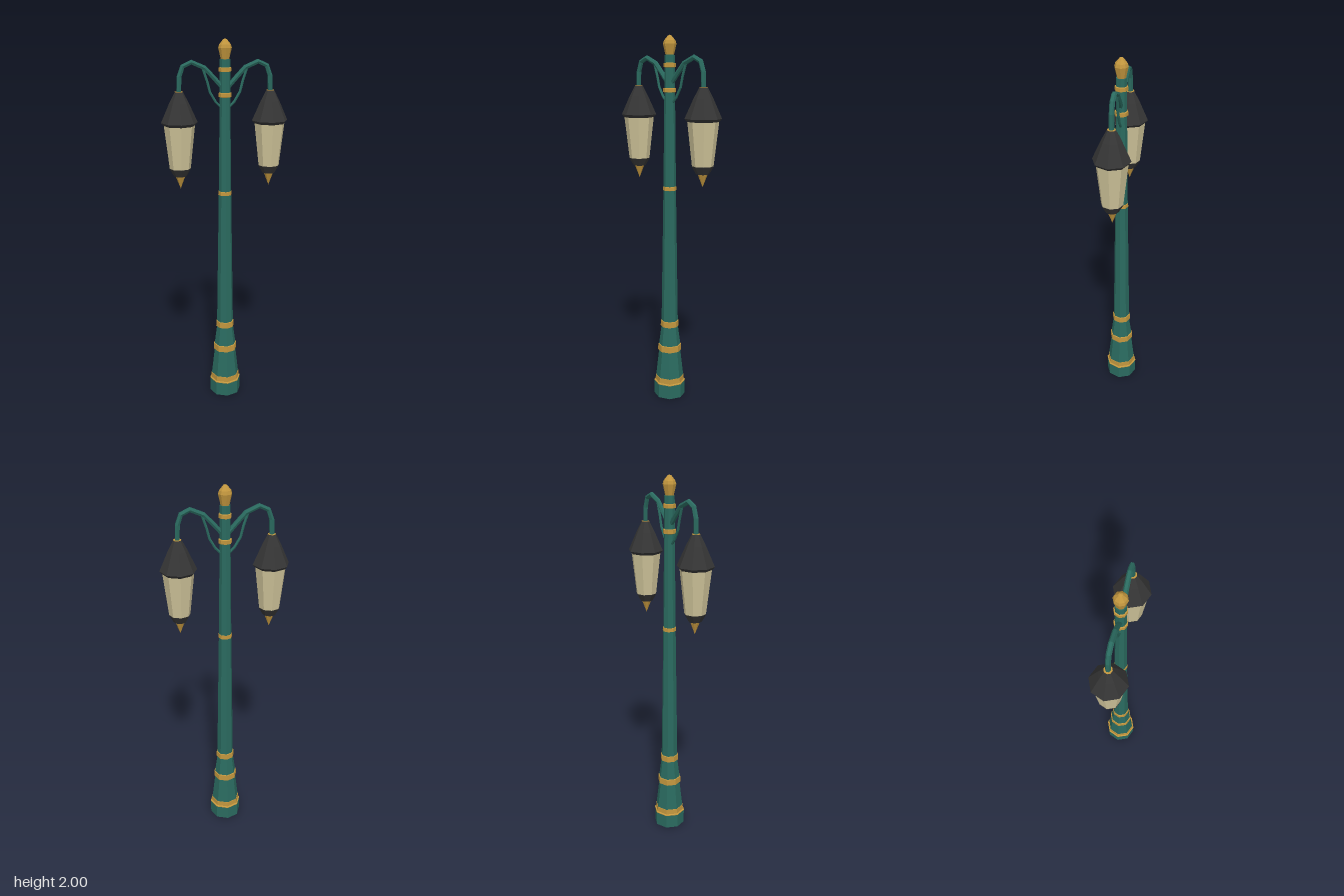
import * as THREE from 'three';

const paint = (name, color) => {
  const m = new THREE.MeshStandardMaterial({ color, flatShading: true });
  m.name = name;
  return m;
};

export function createModel() {
  const green = paint('green iron', 0x2a6a5f);
  const gold = paint('gold trim', 0xc2963e);
  const black = paint('black metal', 0x353535);
  const glass = paint('cream glass', 0xcdc298);

  const root = new THREE.Group();
  root.name = 'streetLamp';

  const add = (parent, name, geometry, material) => {
    const mesh = new THREE.Mesh(geometry, material);
    mesh.name = name;
    parent.add(mesh);
    return mesh;
  };
  // Eight-sided turned part; profile is [radius, height] from bottom to top
  const turned = (parent, name, profile, material) =>
    add(parent, name, new THREE.LatheGeometry(profile.map(([r, y]) => new THREE.Vector2(r, y)), 8), material);

  // Post
  turned(root, 'base', [[0, 0], [0.087, 0], [0.087, 0.08], [0, 0.08]], green);
  turned(root, 'lowerTaper', [[0.078, 0.11], [0.06, 0.27]], green);
  turned(root, 'upperTaper', [[0.061, 0.3], [0.046, 0.415]], green);
  turned(root, 'shaft', [[0.046, 0.44], [0.034, 1.2], [0.028, 1.72], [0.027, 1.9], [0, 1.9]], green);

  // Gold bands: bottom, top, lower radius, upper radius
  turned(root, 'baseBand', [[0.088, 0.079], [0.088, 0.083], [0.081, 0.086], [0.08, 0.115], [0.07, 0.115]], gold);
  const bands = [
    [0.266, 0.308, 0.066, 0.065],
    [0.41, 0.45, 0.051, 0.05],
    [1.187, 1.215, 0.037, 0.036],
    [1.707, 1.735, 0.034, 0.034],
    [1.835, 1.862, 0.033, 0.033],
  ];
  for (const [y0, y1, r0, r1] of bands) {
    turned(root, 'band', [[r0 - 0.012, y0], [r0, y0 + 0.004], [r1, y1 - 0.004], [r1 - 0.012, y1]], gold);
  }
  turned(root, 'finial', [[0, 1.885], [0.021, 1.895], [0.035, 1.955], [0.03, 1.972], [0.01, 1.996], [0, 2]], gold);

  // Faceted bar along straight runs between points in the x-y plane
  const bar = (parent, name, points, radius, sides) => {
    const path = new THREE.CurvePath();
    const p = points.map(([x, y]) => new THREE.Vector3(x, y, 0));
    for (let i = 1; i < p.length; i++) path.add(new THREE.LineCurve3(p[i - 1], p[i]));
    const rings = p.map((q, i) => {
      const t = p[Math.min(i + 1, p.length - 1)].clone().sub(p[Math.max(i - 1, 0)]).normalize();
      return { q, n: new THREE.Vector3(-t.y, t.x, 0) };
    });
    const pos = [], index = [];
    for (const { q, n } of rings) {
      for (let j = 0; j < sides; j++) {
        const a = ((j + 0.5) / sides) * Math.PI * 2;
        const c = Math.cos(a) * radius;
        pos.push(q.x + n.x * c, q.y + n.y * c, Math.sin(a) * radius);
      }
    }
    for (let i = 0; i < rings.length - 1; i++) {
      for (let j = 0; j < sides; j++) {
        const a = i * sides + j, b = i * sides + ((j + 1) % sides);
        index.push(a, a + sides, b, b, a + sides, b + sides);
      }
    }
    // End caps
    const last = (rings.length - 1) * sides;
    for (let j = 1; j < sides - 1; j++) index.push(0, j, j + 1, last, last + j + 1, last + j);
    const g = new THREE.BufferGeometry();
    g.setAttribute('position', new THREE.Float32BufferAttribute(pos, 3));
    g.setIndex(index);
    g.computeVertexNormals();
    // Make the winding face outward
    const flip = signedVolume(pos, index) < 0;
    if (flip) for (let k = 0; k < index.length; k += 3) [index[k], index[k + 1]] = [index[k + 1], index[k]];
    g.setIndex(index);
    g.computeVertexNormals();
    return add(parent, name, g, green);
  };

  // Two arms, each with a brace and a hanging lantern
  for (const [side, turn] of [['left', 0], ['right', Math.PI]]) {
    const arm = new THREE.Group();
    arm.name = side + 'Arm';
    arm.rotation.y = turn;
    root.add(arm);

    bar(arm, 'armTube', [[0.015, 1.76], [0.055, 1.805], [0.105, 1.858], [0.172, 1.887],
      [0.217, 1.866], [0.235, 1.815], [0.238, 1.735]], 0.013, 6);
    bar(arm, 'brace', [[0.015, 1.652], [0.048, 1.685], [0.078, 1.735], [0.092, 1.79], [0.115, 1.858]], 0.007, 6);

    const lantern = new THREE.Group();
    lantern.name = side + 'Lantern';
    lantern.position.x = 0.238;
    arm.add(lantern);
    turned(lantern, 'roof', [[0, 1.57], [0.082, 1.57], [0.095, 1.585], [0.05, 1.685], [0.021, 1.74], [0, 1.74]], black);
    turned(lantern, 'roofCap', [[0.021, 1.739], [0.021, 1.742], [0, 1.742]], gold);
    turned(lantern, 'glassPanes', [[0.055, 1.34], [0.081, 1.571]], glass);
    turned(lantern, 'collar', [[0, 1.303], [0.034, 1.303], [0.058, 1.345], [0, 1.345]], black);
    turned(lantern, 'tip', [[0, 1.235], [0.027, 1.305], [0, 1.305]], gold);
  }
  return root;
}

// Positive when the triangles of a closed shape face outward
function signedVolume(pos, index) {
  const at = (i) => new THREE.Vector3().fromArray(pos, i * 3);
  let v = 0;
  for (let k = 0; k < index.length; k += 3) {
    v += at(index[k]).dot(at(index[k + 1]).cross(at(index[k + 2])));
  }
  return v;
}
